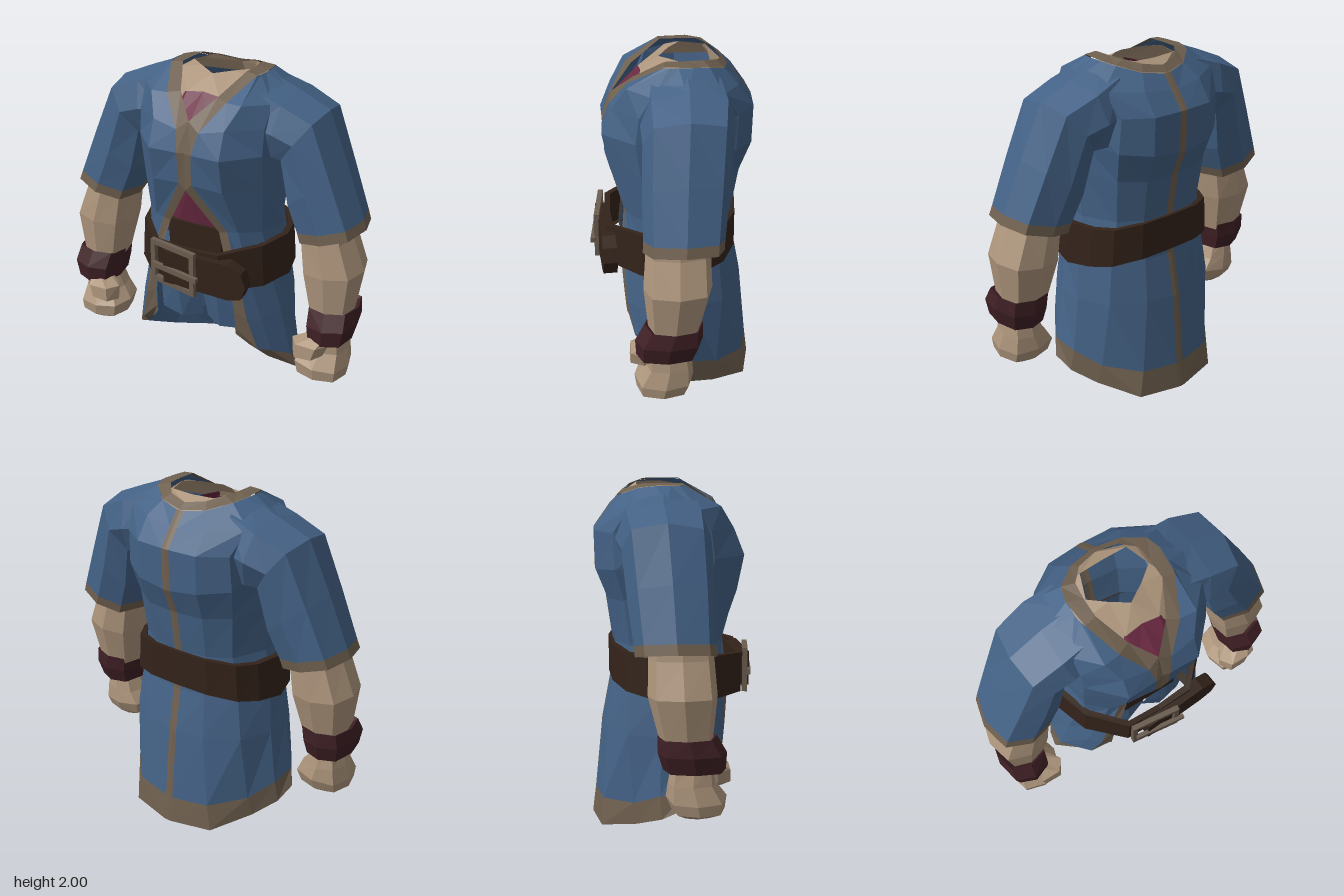
import * as THREE from 'three';

const C = { blue: 0x446286, trim: 0x6f604f, skin: 0xad957c, belt: 0x33231a, cuff: 0x3f2025, red: 0x6b2a42, metal: 0x6b5d50 };
const mat = (color) => new THREE.MeshStandardMaterial({ color, flatShading: true, side: THREE.DoubleSide });

// Surface through rows of points; rows run downward, columns left to right seen from outside
function patch(name, rows, color, { mirror = false, closed = false, cap = false, inward = false } = {}) {
  const pos = [], s = mirror ? -1 : 1, n = rows[0].length;
  const tri = (a, b, c) => {
    const order = mirror !== inward ? [a, c, b] : [a, b, c];
    for (const p of order) pos.push(p[0] * s, p[1], p[2]);
  };
  for (let r = 0; r + 1 < rows.length; r++) {
    for (let c = 0; c < (closed ? n : n - 1); c++) {
      const d = (c + 1) % n;
      tri(rows[r][c], rows[r + 1][c], rows[r + 1][d]);
      tri(rows[r][c], rows[r + 1][d], rows[r][d]);
    }
  }
  if (cap) {
    const last = rows[rows.length - 1];
    for (let c = 1; c + 1 < n; c++) tri(last[0], last[c + 1], last[c]);
  }
  const g = new THREE.BufferGeometry();
  g.setAttribute('position', new THREE.Float32BufferAttribute(pos, 3));
  g.computeVertexNormals();
  const m = new THREE.Mesh(g, mat(color));
  m.name = name;
  return m;
}

// Limb cross-section from its outer point, inner point, front z and back z
function ring([x1, y1, x2, y2, zf, zb], n = 8) {
  return Array.from({ length: n }, (_, i) => {
    const a = (i / n) * Math.PI * 2, k = 1.1;
    const co = Math.max(-1, Math.min(1, Math.cos(a) * k)), si = Math.max(-1, Math.min(1, Math.sin(a) * k));
    return [(x1 + x2) / 2 + co * (x1 - x2) / 2, (y1 + y2) / 2 + co * (y1 - y2) / 2, (zf + zb) / 2 - si * (zf - zb) / 2];
  });
}

// Half garment row: seven points from front opening to back, then the centre-back seam
const row = (pts, y, z) => [...pts, [0.025, y, z], [0, y, z - 0.002]];
const cols = (rows, a, b) => rows.map((r) => r.slice(a, b + 1));

export function createModel() {
  const model = new THREE.Group();
  model.name = 'tunicBody';

  const upper = [
    row([[.2, 2, .05], [.27, 1.99, .06], [.28, 1.99, .03], [.285, 1.99, -.02], [.285, 1.99, -.1], [.26, 1.98, -.19], [.15, 1.94, -.28]], 1.92, -.312),
    row([[.115, 1.89, .22], [.185, 1.88, .25], [.28, 1.88, .26], [.4, 1.87, .13], [.46, 1.9, -.05], [.4, 1.88, -.25], [.2, 1.86, -.355]], 1.84, -.375),
    row([[0, 1.77, .335], [.07, 1.72, .355], [.22, 1.75, .34], [.39, 1.75, .2], [.44, 1.75, -.05], [.35, 1.74, -.34], [.2, 1.74, -.44]], 1.74, -.45),
    row([[0, 1.6, .385], [.045, 1.6, .395], [.22, 1.6, .4], [.39, 1.6, .22], [.42, 1.58, -.05], [.36, 1.54, -.33], [.2, 1.52, -.435]], 1.5, -.445),
    row([[0, 1.38, .38], [.04, 1.42, .385], [.22, 1.4, .36], [.385, 1.38, .19], [.41, 1.38, -.05], [.33, 1.36, -.28], [.19, 1.35, -.37]], 1.35, -.385),
    row([[.16, 1.12, .285], [.21, 1.13, .28], [.27, 1.13, .26], [.37, 1.12, .16], [.4, 1.1, -.05], [.31, 1.1, -.25], [.18, 1.1, -.33]], 1.1, -.35),
  ];
  const skirt = [
    row([[.24, .85, .31], [.29, .85, .29], [.33, .85, .24], [.41, .85, .12], [.44, .85, -.06], [.35, .86, -.25], [.18, .86, -.345]], .86, -.365),
    row([[.265, .64, .295], [.34, .6, .28], [.4, .58, .21], [.46, .6, .08], [.465, .6, -.08], [.385, .6, -.27], [.2, .6, -.385]], .6, -.415),
    row([[.27, .52, .285], [.395, .39, .24], [.45, .36, .17], [.525, .3, .06], [.51, .27, -.09], [.42, .2, -.24], [.25, .17, -.415]], .16, -.46),
  ];
  const hem = row([[.27, .48, .28], [.335, .4, .23], [.42, .3, .15], [.555, .2, .03], [.53, .14, -.08], [.44, .08, -.22], [.28, .012, -.425]], 0, -.48);
  const tunic = [...upper, ...skirt];
  const lining = [...skirt, hem].map((r) => r.map(([x, y, z]) => [x * .985, y + .002, z * .985]));

  // Back half of the collar, inner edge then outer edge
  const collar = [
    [[.2, 2, .05], [.2, 2, -.06], [.19, 2, -.16], [.12, 1.975, -.24], [0, 1.955, -.275]],
    upper[0].slice(1).map(([x, y, z]) => [x, y + .002, z]).filter((_, i) => [0, 3, 4, 5, 7].includes(i)),
  ];
  // Open neck stump and upper chest
  const neck = [
    [[0, 1.965, .07], [.1, 1.98, .01], [.19, 1.985, -.06], [.14, 1.985, -.2], [0, 1.98, -.205]],
    [[0, 1.89, .17], [.1, 1.88, .18], [.23, 1.96, .02], [.19, 1.96, -.19], [0, 1.94, -.28]],
    [[0, 1.86, .18], [.14, 1.83, .21], [.33, 1.87, .06], [.27, 1.89, -.22], [0, 1.87, -.32]],
  ];
  // Undershirt behind the front opening
  const shirt = [
    [[0, 1.89, .172], [.1, 1.88, .183], [.2, 1.85, .13]],
    [[0, 1.75, .33], [.1, 1.75, .31], [.25, 1.74, .22]],
    [[0, 1.4, .33], [.12, 1.4, .3], [.25, 1.4, .22]],
    [[0, 1.05, .25], [.15, 1.05, .24], [.27, 1.05, .18]],
  ];
  // Front of the short trousers
  const trousers = [
    [[.01, 1.02, .25], [.14, 1.02, .26], [.28, 1.02, .2]],
    [[.01, .74, .23], [.13, .72, .27], [.27, .74, .23]],
    [[.015, .47, .16], [.13, .46, .22], [.28, .47, .19]],
  ];

  const sleeve = [
    [.28, 1.985, .3, 1.5, .18, -.3], [.46, 1.915, .385, 1.53, .195, -.325], [.66, 1.83, .435, 1.53, .19, -.295],
    [.79, 1.53, .48, 1.29, .2, -.265], [.905, 1.245, .54, 1.145, .2, -.235],
  ].map((s) => ring(s));
  const cuff = [sleeve[4], ring([.925, 1.19, .56, 1.09, .205, -.23])];
  const forearm = [
    [.84, 1.32, .56, 1.26, .17, -.15], [.865, 1.14, .575, 1.1, .19, -.16],
    [.94, .95, .595, .92, .205, -.165], [.9, .68, .65, .68, .18, -.1],
  ].map((s) => ring(s));
  const bracer = [
    [.89, .7, .66, .69, .17, -.08], [.93, .73, .645, .715, .2, -.115], [.94, .64, .655, .62, .255, -.115],
    [.915, .54, .67, .53, .25, -.085], [.87, .56, .7, .54, .2, -.04],
  ].map((s) => ring(s));
  const fist = [
    [.87, .58, .7, .56, .19, -.04], [.89, .46, .65, .45, .2, -.06], [.91, .36, .59, .38, .26, -.07],
    [.9, .3, .61, .3, .25, -.04], [.8, .25, .68, .26, .18, .02],
  ].map((s) => ring(s));
  const thumb = [
    [.83, .58, .71, .56, .21, .1], [.82, .52, .6, .525, .28, .13], [.79, .45, .605, .435, .285, .13], [.75, .42, .64, .42, .24, .16],
  ].map((s) => ring(s, 6));

  for (const mirror of [false, true]) {
    const side = mirror ? 'right' : 'left';
    const half = new THREE.Group();
    half.name = side + 'Half';
    const add = (name, rows, color, o) => half.add(patch(side + name, rows, color, { mirror, ...o }));
    add('TunicPanel', cols(tunic, 1, 7), C.blue);
    add('FrontTrim', cols(tunic, 0, 1), C.trim);
    add('BackSeam', cols(tunic, 7, 8), C.trim);
    add('HemTrim', [skirt[2], hem], C.trim);
    add('SkirtLining', lining, C.blue, { inward: true });
    add('Collar', collar, C.trim);
    add('Neck', neck, C.skin);
    add('Undershirt', shirt, C.red);
    add('TrouserFront', trousers, C.blue);
    const tube = { closed: true };
    add('Sleeve', sleeve, C.blue, tube);
    add('SleeveCuff', cuff, C.trim, tube);
    add('Forearm', forearm, C.skin, tube);
    add('Bracer', bracer, C.cuff, tube);
    add('Fist', fist, C.skin, { closed: true, cap: true });
    add('Thumb', thumb, C.skin, { closed: true, cap: true });
    // Belt half: inner top, outer top, outer bottom, inner bottom
    const path = [[0, .395, 1.02, .8], [.21, .39, 1.03, .8], [.39, .2, 1.05, .8], [.455, 0, 1.06, .81], [.42, -.16, 1.06, .83], [.35, -.275, 1.07, .85], [.2, -.352, 1.09, .875], [0, -.373, 1.1, .885]];
    const loop = (k, top) => path.map(([x, z, a, b]) => [x * k * (top ? 1 : 1.04), top ? a : b, z * k]);
    add('Belt', [loop(.92, true), loop(1, true), loop(1, false), loop(.92, false)], C.belt);
    model.add(half);
  }

  // Inner waistband seen above the belt
  const band = new THREE.Mesh(new THREE.BoxGeometry(.34, .16, .03), mat(C.belt));
  band.name = 'waistband';
  band.position.set(0, 1.05, .265);
  model.add(band);

  // Flat extruded pieces on the belt front
  const plate = (name, pts, depth, color, hole) => {
    const shape = new THREE.Shape(pts.map((p) => new THREE.Vector2(...p)));
    if (hole) shape.holes.push(new THREE.Path(hole.map((p) => new THREE.Vector2(...p))));
    const m = new THREE.Mesh(new THREE.ExtrudeGeometry(shape, { depth, bevelEnabled: false }), mat(color));
    m.name = name;
    model.add(m);
    return m;
  };
  const end = plate('beltEnd', [[-.2, -.1], [.2, -.13], [.28, -.11], [.31, -.03], [.28, .05], [.2, .09], [-.2, .1]], .08, C.belt);
  end.position.set(.08, .91, .355);
  end.rotation.y = .08;
  const frame = plate('buckleFrame', [[-.15, .14], [.15, .12], [.15, -.15], [-.15, -.12]], .03, C.metal,
    [[-.12, .11], [-.12, -.09], [.12, -.12], [.12, .09]]);
  frame.position.set(-.055, .915, .415);
  frame.rotation.y = -.1;
  const prong = new THREE.Mesh(new THREE.BoxGeometry(.31, .03, .025), mat(C.metal));
  prong.name = 'buckleProng';
  prong.position.set(-.035, .895, .455);
  prong.rotation.set(0, -.1, -.08);
  model.add(prong);

  return model;
}
